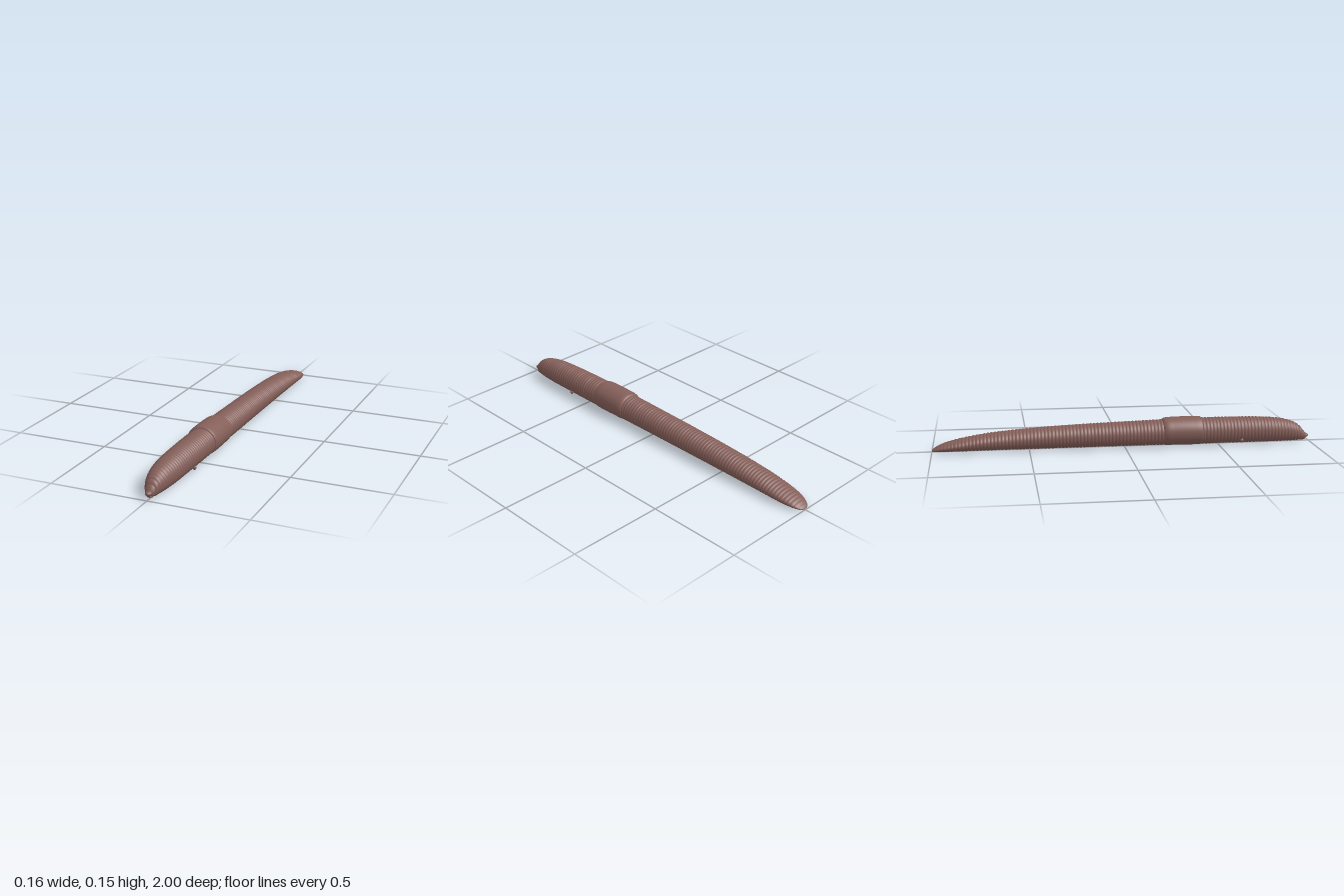
import * as THREE from 'three';

const SEGMENT = 0.0185; // length of one body ring
const SIDES = 40;

// Rows of [z, top height, half width, belly height], from tail to head
const BODY = [
  [-1, 0.008, 0.004, 0.004], [-0.995, 0.014, 0.022, 0.003], [-0.975, 0.027, 0.04, 0.002],
  [-0.94, 0.043, 0.054, 0.002], [-0.88, 0.06, 0.064, 0.002], [-0.8, 0.077, 0.068, 0.002],
  [-0.7, 0.092, 0.07, 0.002], [-0.5, 0.11, 0.071, 0.002], [-0.25, 0.123, 0.072, 0.002],
  [0, 0.131, 0.073, 0.002], [0.3, 0.139, 0.075, 0.002], [0.5, 0.141, 0.075, 0.002],
  [0.7, 0.138, 0.071, 0.002], [0.8, 0.132, 0.067, 0.002], [0.87, 0.121, 0.058, 0.002],
  [0.92, 0.103, 0.047, 0.003], [0.95, 0.082, 0.036, 0.004], [0.97, 0.058, 0.024, 0.007],
  [0.983, 0.042, 0.015, 0.012], [0.988, 0.03, 0.004, 0.022],
];
const SADDLE = [
  [0.2, 0.128, 0.068, 0.006], [0.205, 0.14, 0.075, 0.003], [0.222, 0.146, 0.08, 0.001],
  [0.26, 0.148, 0.081, 0.001], [0.31, 0.149, 0.082, 0], [0.36, 0.149, 0.082, 0],
  [0.395, 0.148, 0.081, 0.001], [0.408, 0.145, 0.079, 0.002], [0.412, 0.13, 0.068, 0.006],
];

// Skins a profile with rounded sections that have a flatter belly
function loft(rows, count, depth) {
  const tops = new THREE.CatmullRomCurve3(rows.map(r => new THREE.Vector3(r[2], r[1], r[0])));
  const pos = [], index = [];
  for (let i = 0; i <= count; i++) {
    const p = tops.getPointAt(i / count);
    let k = 0;
    while (k < rows.length - 2 && rows[k + 1][0] < p.z) k++;
    const f = THREE.MathUtils.clamp((p.z - rows[k][0]) / (rows[k + 1][0] - rows[k][0]), 0, 1);
    const belly = THREE.MathUtils.lerp(rows[k][3], rows[k + 1][3], f);
    // Sharp groove between rounded rings, shallower where the body is thin
    const ring = Math.abs(Math.sin(Math.PI * p.z / SEGMENT));
    const groove = depth * Math.min(1, p.y / 0.08) * (1 - Math.sqrt(ring));
    const half = Math.max((p.y - belly) / 2, 0.001);
    const mid = belly + half;
    const rx = Math.max(p.x - groove, 0.001), ry = Math.max(half - groove, 0.001);
    for (let j = 0; j < SIDES; j++) {
      const a = j / SIDES * Math.PI * 2, c = Math.cos(a), s = Math.sin(a);
      const x = s < 0 ? Math.sign(c) * Math.abs(c) ** 0.9 : c;
      const y = s < 0 ? -(Math.abs(s) ** 0.92) : s;
      pos.push(x * rx, mid + y * ry, p.z);
    }
  }
  const q = (i, j) => i * SIDES + j % SIDES;
  for (let i = 0; i < count; i++) {
    for (let j = 0; j < SIDES; j++) {
      index.push(q(i, j), q(i, j + 1), q(i + 1, j), q(i, j + 1), q(i + 1, j + 1), q(i + 1, j));
    }
  }
  // Close both ends
  for (let j = 1; j < SIDES - 1; j++) {
    index.push(q(0, 0), q(0, j + 1), q(0, j), q(count, 0), q(count, j), q(count, j + 1));
  }
  const g = new THREE.BufferGeometry();
  g.setAttribute('position', new THREE.Float32BufferAttribute(pos, 3));
  g.setIndex(index);
  g.computeVertexNormals();
  return g;
}

export function createModel() {
  const group = new THREE.Group();
  const skin = new THREE.MeshStandardMaterial({ color: 0x855f59 });
  skin.name = 'dusky pink skin';

  const add = (name, geometry) => {
    const mesh = new THREE.Mesh(geometry, skin);
    mesh.name = name;
    group.add(mesh);
    return mesh;
  };

  add('ringedBody', loft(BODY, 760, 0.005));
  add('saddle', loft(SADDLE, 48, 0));

  // Rounded lip over the mouth, with a smaller lower lip
  const ball = new THREE.SphereGeometry(1, 20, 14);
  const upperLip = add('upperLip', ball);
  upperLip.scale.set(0.017, 0.012, 0.024);
  upperLip.position.set(0, 0.029, 0.976);
  const lowerLip = add('lowerLip', ball);
  lowerLip.scale.set(0.016, 0.007, 0.018);
  lowerLip.position.set(0, 0.012, 0.966);

  // Pair of small swollen pores low on the flanks
  for (const side of [1, -1]) {
    const pore = add(side > 0 ? 'leftPore' : 'rightPore', ball);
    pore.scale.set(0.009, 0.011, 0.01);
    pore.position.set(side * 0.059, 0.024, 0.62);
  }
  return group;
}
